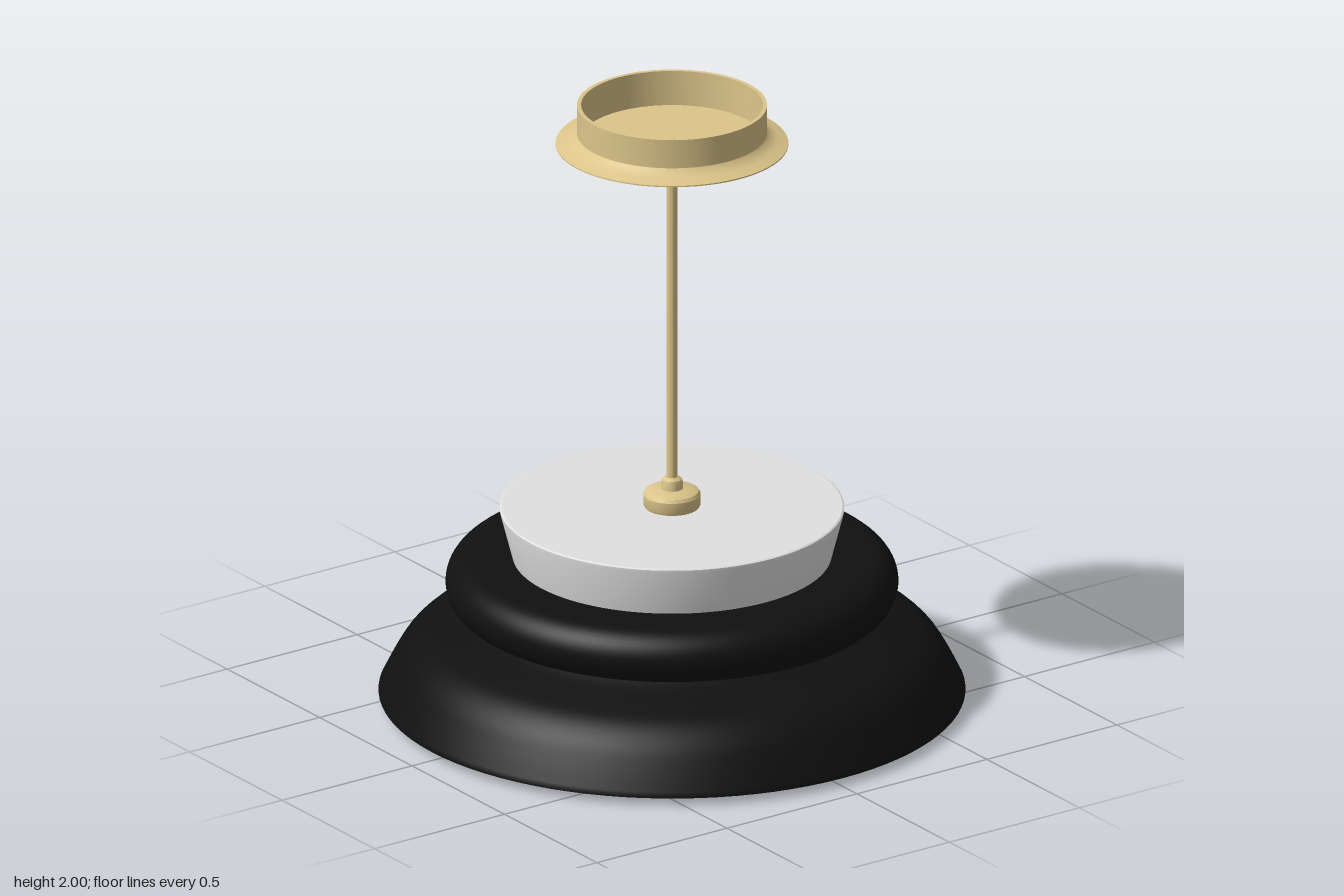
import * as THREE from 'three';
import { toCreasedNormals } from 'three/addons/utils/BufferGeometryUtils.js';

const material = (name, color) => {
  const m = new THREE.MeshStandardMaterial({ color });
  m.name = name;
  return m;
};

// Smooth curve through a few [radius, height] points
const smooth = (pts, n = 24) =>
  new THREE.SplineCurve(pts.map(p => new THREE.Vector2(...p))).getPoints(n).map(v => [v.x, v.y]);

export function createModel() {
  const lamp = new THREE.Group();
  lamp.name = 'pendantLamp';
  const brass = material('brass', 0xdcc58a);
  const black = material('black', 0x101010);
  const copper = material('copper', 0xb87149);
  const white = material('opalWhite', 0xe0e0e0);

  // Revolve a profile; outer faces run upward, inner faces run downward
  const turn = (name, mat, profile, segments = 96) => {
    const geo = new THREE.LatheGeometry(profile.map(p => new THREE.Vector2(...p)), segments);
    const mesh = new THREE.Mesh(toCreasedNormals(geo, 0.5), mat);
    mesh.name = name;
    lamp.add(mesh);
  };

  // Ceiling cup with flared flange, open at the top
  turn('canopy', brass, [
    [0, 1.868], [0.365, 1.868], [0.365, 1.872], [0.33, 1.883], [0.308, 1.893], [0.298, 1.905],
    [0.298, 2], [0.285, 2], [0.285, 1.885], [0, 1.885],
  ]);

  // Hanging rod and its fittings
  turn('rod', brass, [[0.018, 0.72], [0.018, 1.87]], 32);
  turn('rodTip', brass, [[0.01, 1.88], [0.01, 1.89], [0, 1.89]], 24);
  turn('rodCollar', brass, [
    [0.035, 0.69], [0.035, 0.725], [0.031, 0.738], [0.02, 0.746], [0, 0.746],
  ], 32);
  turn('rodBase', brass, [
    [0, 0.64], [0.083, 0.64], [0.09, 0.655], [0.09, 0.688], [0.084, 0.698], [0.068, 0.706], [0, 0.708],
  ], 48);

  // Upper opal bowl
  turn('upperDiffuser', white, [
    [0.495, 0.46], [0.5, 0.48], [0.54, 0.636], [0.54, 0.643], [0.535, 0.646], [0, 0.646],
  ]);

  // Rounded middle ring
  const ringEdge = [];
  for (let i = 0; i <= 20; i++) {
    const a = -Math.PI / 2 + (i / 20) * Math.PI;
    ringEdge.push([0.62 + 0.09 * Math.cos(a), 0.394 + 0.088 * Math.sin(a)]);
  }
  turn('middleRing', black, [[0.44, 0.306], ...ringEdge, [0.44, 0.482]]);
  turn('neck', black, [[0.45, 0.28], [0.45, 0.32]]);

  // Bell shade: black outside, copper inside
  turn('shadeOuter', black, [
    [0.908, 0.03], [0.92, 0.026],
    ...smooth([[0.92, 0.03], [0.882, 0.105], [0.84, 0.172], [0.78, 0.221], [0.7, 0.248], [0.62, 0.27], [0.575, 0.288]]),
    [0.56, 0.293], [0.44, 0.295],
  ]);
  turn('shadeInner', copper, [
    [0.44, 0.28], [0.56, 0.279],
    ...smooth([[0.6, 0.266], [0.69, 0.237], [0.77, 0.21], [0.826, 0.163], [0.868, 0.1], [0.908, 0.03]]),
  ]);

  // Lower opal bowl with a shallow bevelled underside
  turn('lowerDiffuser', white, [
    [0, 0.003], [0.37, 0.003], [0.5, 0.033],
    ...smooth([[0.502, 0.034], [0.545, 0.068], [0.568, 0.115], [0.572, 0.15], [0.562, 0.195], [0.53, 0.24], [0.45, 0.279]]),
  ]);

  // Rest the lowest face on the ground
  lamp.children.forEach(part => { if (part.name === 'lowerDiffuser') part.position.y = -0.003; });
  return lamp;
}
